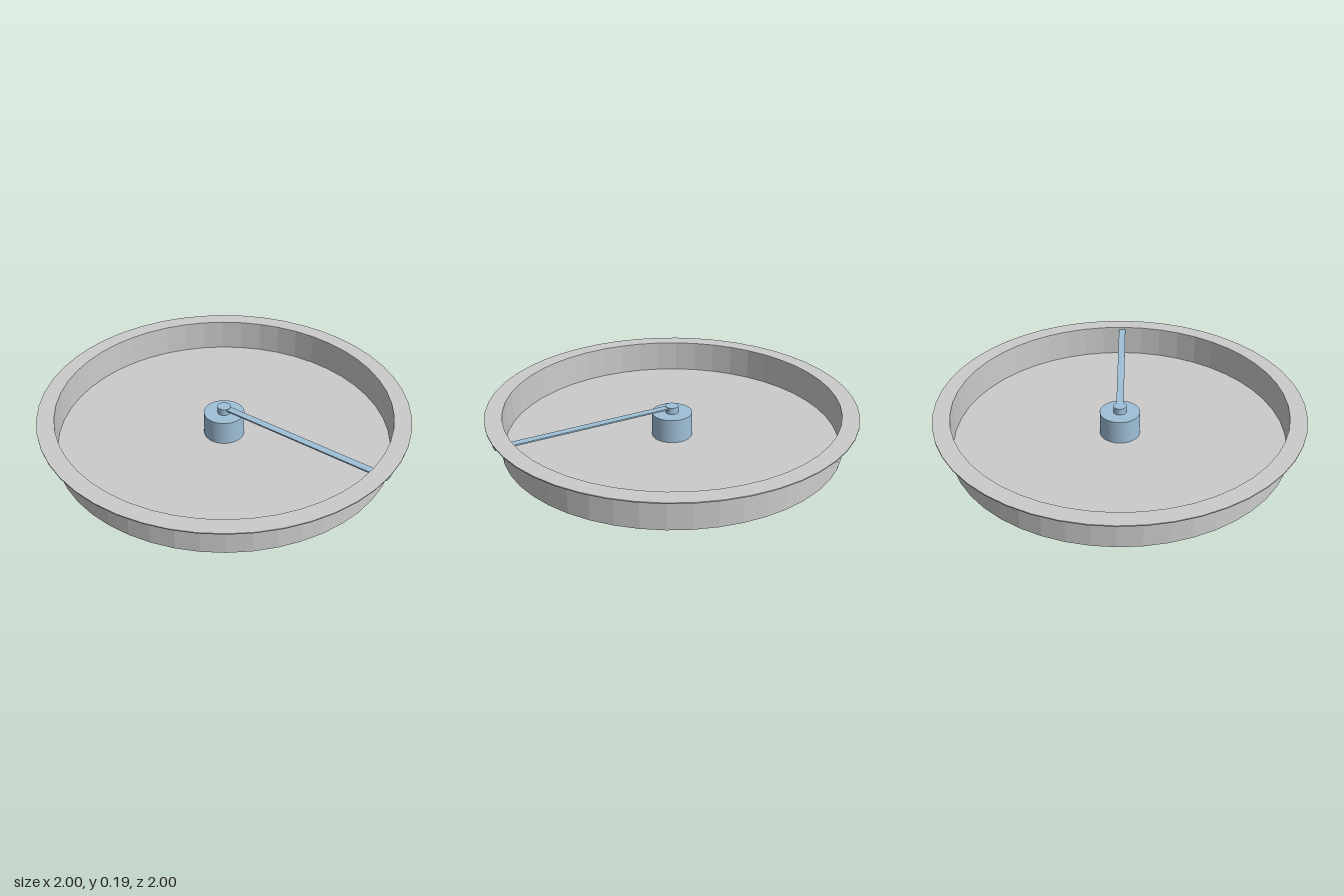
import * as THREE from 'three';

const SEGMENTS = 48;

export function createModel() {
  const model = new THREE.Group();
  const grey = new THREE.MeshStandardMaterial({ color: 0xcccccc, flatShading: true });
  const blue = new THREE.MeshStandardMaterial({ color: 0x9fc0d8 });

  const add = (name, geometry, material, x, y) => {
    const mesh = new THREE.Mesh(geometry, material);
    mesh.name = name;
    mesh.position.set(x, y, 0);
    model.add(mesh);
  };

  // Upright cylinder standing from y0 to y1
  const post = (name, radius, y0, y1) =>
    add(name, new THREE.CylinderGeometry(radius, radius, y1 - y0, SEGMENTS), blue, 0, (y0 + y1) / 2);

  // Shallow round pan: floor, thin wall and flat flange in one closed profile
  const wallOuter = 0.925, wallInner = 0.908, floorTop = 0.012;
  const flangeBottom = 0.187, flangeTop = 0.193;
  const profile = [
    [0, 0], [wallOuter, 0], [wallOuter, flangeBottom], [1, flangeBottom],
    [1, flangeTop], [wallInner, flangeTop], [wallInner, floorTop], [0, floorTop],
  ].map(([r, y]) => new THREE.Vector2(r, y));
  add('pan', new THREE.LatheGeometry(profile, SEGMENTS), grey, 0, 0);

  // Central hub with the small spindle that carries the arm
  post('hub', 0.11, floorTop, 0.145);
  post('spindle', 0.036, 0.145, 0.182);

  // Flat arm reaching through the wall to below the flange edge
  add('arm', new THREE.BoxGeometry(0.995, 0.008, 0.04), blue, 0.4975, 0.174);

  return model;
}
